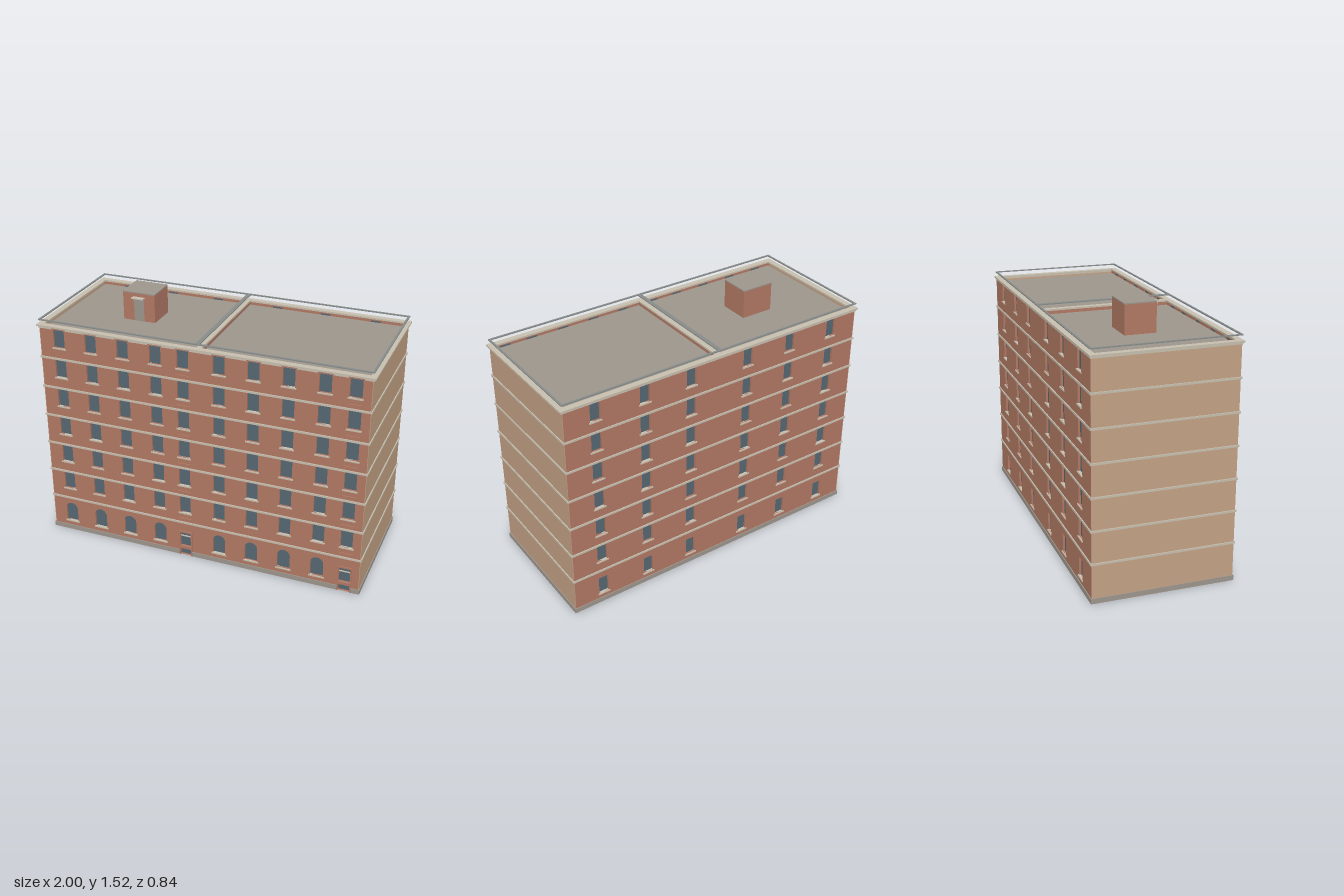
import * as THREE from 'three';

const mat = (name, color, side = THREE.FrontSide) => {
  const m = new THREE.MeshStandardMaterial({ color, side });
  m.name = name;
  return m;
};

export function createModel() {
  const brick = mat('brick', 0xb07863);
  const plaster = mat('tanPlaster', 0xc3a184);
  const stone = mat('paleStone', 0xc6beae);
  const concrete = mat('concrete', 0x9d958c);
  const glass = mat('glass', 0x566672, THREE.DoubleSide);
  const metal = mat('railMetal', 0x868b8a);

  const model = new THREE.Group();
  model.name = 'apartmentBlock';
  const group = (name, parent = model) => {
    const g = new THREE.Group();
    g.name = name;
    parent.add(g);
    return g;
  };
  // Box given by its lower and upper limits
  const box = (parent, name, m, x0, x1, y0, y1, z0, z1) => {
    const b = new THREE.Mesh(new THREE.BoxGeometry(x1 - x0, y1 - y0, z1 - z0), m);
    b.position.set((x0 + x1) / 2, (y0 + y1) / 2, (z0 + z1) / 2);
    b.name = name;
    parent.add(b);
  };
  // Rectangular band running around the block
  const ring = (parent, name, m, X, Z, y0, y1, t) => {
    const g = group(name, parent);
    for (const s of [-1, 1]) {
      const z = s * (Z - t / 2), x = s * (X - t / 2);
      box(g, name + 'Long', m, -X, X, y0, y1, z - t / 2, z + t / 2);
      box(g, name + 'Short', m, x - t / 2, x + t / 2, y0, y1, -Z + t, Z - t);
    }
  };

  const W = 0.985, D = 0.41, T = 0.02, TOP = 1.362;
  const FLOOR = 0.1885, BAND = 0.23;
  const floorBase = (i) => BAND + (i - 1) * FLOOR;

  // Opening outline, optionally with an arched head
  const outline = (Type, o) => {
    const p = new Type(), h = o.w / 2;
    p.moveTo(o.x - h, o.y0);
    p.lineTo(o.x + h, o.y0);
    if (o.arch) {
      p.lineTo(o.x + h, o.y1 - h);
      p.absarc(o.x, o.y1 - h, h, 0, Math.PI, false);
    } else {
      p.lineTo(o.x + h, o.y1);
      p.lineTo(o.x - h, o.y1);
    }
    p.closePath();
    return p;
  };

  // Brick wall with openings, facing +z, outer face at z = D
  const makeWall = (name, openings) => {
    const g = group(name);
    const e = W - 0.003;
    const s = new THREE.Shape([[-e, 0], [e, 0], [e, TOP], [-e, TOP]].map((p) => new THREE.Vector2(...p)));
    openings.forEach((o) => s.holes.push(outline(THREE.Path, o)));
    const wall = new THREE.Mesh(new THREE.ExtrudeGeometry(s, { depth: T, bevelEnabled: false, curveSegments: 10 }), brick);
    wall.position.z = D - T;
    wall.name = name + 'Brickwork';
    g.add(wall);
    for (const o of openings) {
      const pane = new THREE.Mesh(new THREE.ShapeGeometry(outline(THREE.Shape, o), 10), glass);
      pane.position.z = D - 0.013;
      pane.name = 'windowPane';
      g.add(pane);
      if (o.door) continue;
      const h = o.w / 2 + 0.008;
      box(g, 'windowSill', stone, o.x - h, o.x + h, o.y0 - 0.008, o.y0, D - 0.013, D + 0.006);
      if (o.hood) box(g, 'windowHood', brick, o.x - h, o.x + h, o.y1, o.y1 + 0.008, D - 0.005, D + 0.004);
    }
    return g;
  };

  // Front: two equal sections of five bays, the last bay holding the door
  const bays = [-0.862, -0.66, -0.459, -0.257, -0.09];
  const doors = [];
  const front = [];
  for (const shift of [0, 0.987]) {
    bays.forEach((b, i) => {
      const x = b + shift, door = i === 4;
      if (door) doors.push(x);
      front.push(door ? { x, w: 0.068, y0: 0.001, y1: 0.158, door }
        : { x, w: 0.078, y0: 0.064, y1: 0.19, arch: true });
      for (let f = 1; f <= 6; f++) {
        front.push({ x, w: 0.07, y0: floorBase(f) + 0.07, y1: floorBase(f) + 0.182, hood: true });
      }
    });
  }
  const frontWall = makeWall('frontWall', front);

  // Entrance surrounds and the brick panels stacked above them
  for (const x of doors) {
    const g = group('entrance', frontWall);
    for (const s of [-1, 1]) {
      const c = x + s * 0.038;
      box(g, 'doorJamb', brick, c - 0.004, c + 0.004, 0, 0.158, D - 0.013, D + 0.006);
    }
    box(g, 'doorHead', brick, x - 0.042, x + 0.042, 0.158, 0.168, D - 0.013, D + 0.006);
    box(g, 'doorTransom', stone, x - 0.034, x + 0.034, 0.126, 0.131, D - 0.013, D - 0.006);
    box(g, 'doorPanel', brick, x - 0.038, x + 0.038, 0.044, 0.062, D - 0.013, D + 0.006);
    for (let f = 1; f <= 6; f++) {
      const y = floorBase(f) + 0.012;
      box(g, 'brickPanel', brick, x - 0.04, x + 0.04, y, y + 0.02, D, D + 0.006);
    }
  }

  // Back: three bays in each section, seven equal floors
  const back = [];
  for (const x of [-0.8, -0.495, -0.195, 0.19, 0.49, 0.795]) {
    for (let f = 0; f <= 6; f++) {
      const y = floorBase(f) + 0.07 - (f ? 0 : 0.05);
      const y0 = f ? y : 0.064;
      back.push({ x: -x, w: 0.062, y0, y1: y0 + 0.112 });
    }
  }
  makeWall('backWall', back).rotation.y = Math.PI;

  // Plain side walls
  for (const s of [-1, 1]) {
    box(model, 'sideWall', plaster, s * (W - 0.0015) - 0.0015, s * (W - 0.0015) + 0.0015, 0, TOP, -D, D);
  }

  // Plinth, broken at the doors
  const plinth = group('plinth');
  const P = 0.005;
  for (const s of [-1, 1]) {
    box(plinth, 'sidePlinth', concrete, s * (W + P / 2) - P / 2, s * (W + P / 2) + P / 2, 0, 0.03, -D - P, D + P);
  }
  box(plinth, 'backPlinth', concrete, -W, W, 0, 0.03, -D - P, -D);
  let start = -W;
  for (const x of doors) {
    box(plinth, 'frontPlinth', concrete, start, x - 0.042, 0, 0.03, D, D + P);
    start = x + 0.042;
  }
  box(plinth, 'frontPlinth', concrete, start, W, 0, 0.03, D, D + P);

  // String courses, stepped cornice and floating roof rail
  for (let f = 1; f <= 6; f++) {
    const y = floorBase(f);
    ring(model, 'stringCourse', stone, W + 0.006, D + 0.006, y - 0.006, y + 0.006, 0.007);
  }
  ring(model, 'lowerCornice', stone, W + 0.007, D + 0.004, 1.354, 1.364, 0.012);
  ring(model, 'upperCornice', stone, 1, 0.42, 1.364, 1.374, 0.036);
  ring(model, 'roofRail', metal, 0.988, 0.414, 1.4, 1.406, 0.012);

  // Sunken roof decks and the low divider between the sections
  const ROOF = 1.345;
  const roof = group('roof');
  for (const s of [-1, 1]) {
    box(roof, 'roofDeck', concrete, s * 0.4925 - 0.478, s * 0.4925 + 0.478, ROOF - 0.01, ROOF, -D + T, D - T);
  }
  box(roof, 'divider', brick, -0.0145, 0.0145, ROOF - 0.01, 1.364, -D + T, D - T);
  box(roof, 'dividerCoping', stone, -0.016, 0.016, 1.364, 1.374, -0.384, 0.384);
  box(roof, 'dividerRail', metal, -0.012, 0.012, 1.4, 1.406, -0.402, 0.402);

  // Stair hut with its door and canopy
  const hut = group('stairHut');
  box(hut, 'hutWalls', brick, -0.6, -0.4, ROOF, 1.513, -0.094, 0.09);
  box(hut, 'hutRoof', concrete, -0.601, -0.399, 1.513, 1.52, -0.095, 0.091);
  box(hut, 'hutDoor', concrete, -0.53, -0.467, ROOF, 1.485, 0.09, 0.093);
  box(hut, 'hutCanopy', stone, -0.536, -0.461, 1.487, 1.493, 0.09, 0.12);

  return model;
}
